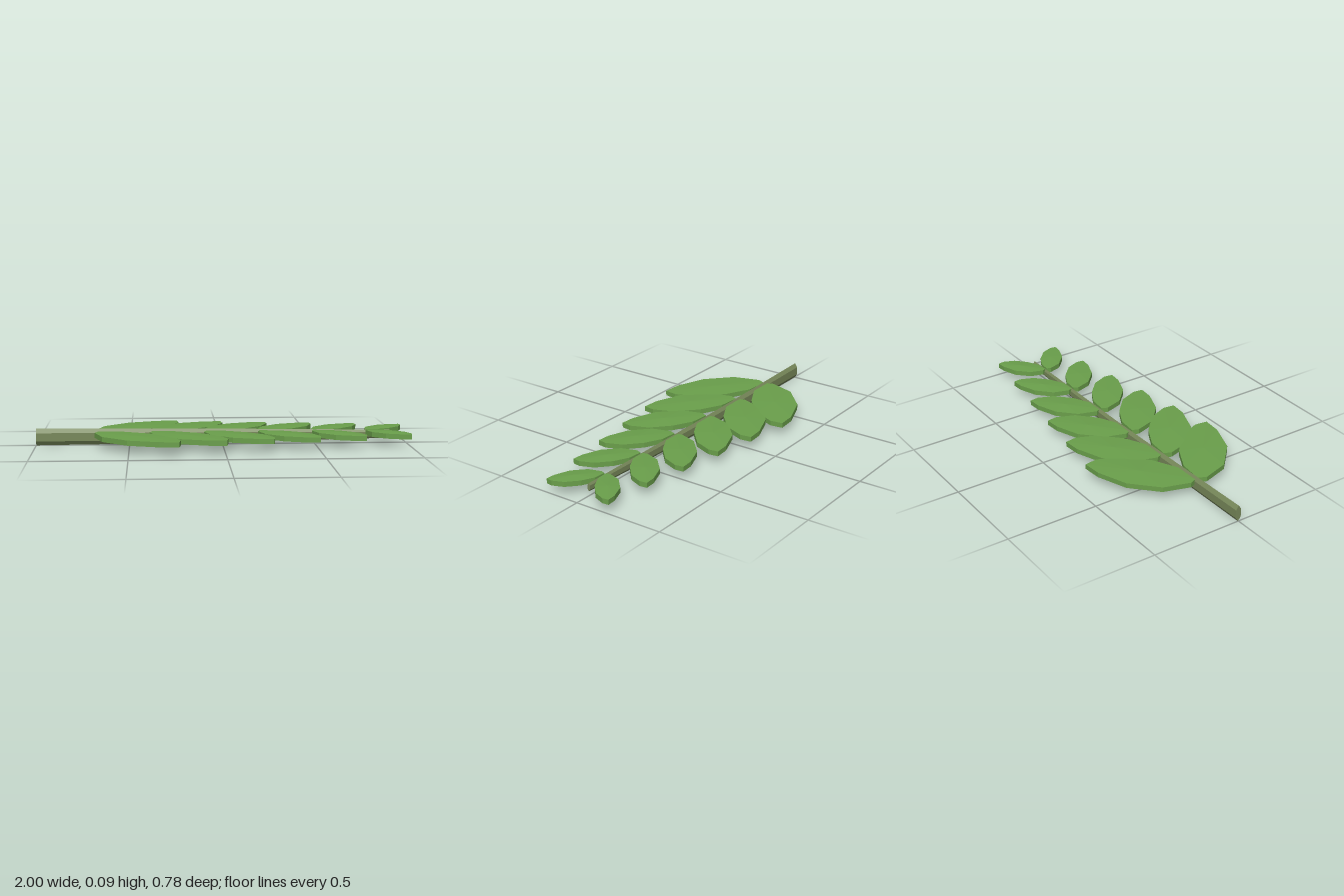
import * as THREE from 'three';

const leafMat = new THREE.MeshStandardMaterial({ color: 0x6a9f4b });
leafMat.name = 'leafGreen';
leafMat.flatShading = true;
const stemMat = new THREE.MeshStandardMaterial({ color: 0x78895a });
stemMat.name = 'stemOlive';
stemMat.flatShading = true;

// Leaf outline: u runs along the stem, v away from it, both as fractions of leaf size
const OUTLINE = [
  [0.04, 0], [0, 0.12], [0.1, 0.49], [0.4, 0.82], [0.77, 0.98], [1, 1],
  [1.02, 0.82], [0.91, 0.5], [0.64, 0.21], [0.34, 0.03],
];

function makeMesh(name, positions, material) {
  const geo = new THREE.BufferGeometry();
  geo.setAttribute('position', new THREE.Float32BufferAttribute(positions.flat(), 3));
  geo.computeVertexNormals();
  const mesh = new THREE.Mesh(geo, material);
  mesh.name = name;
  return mesh;
}

// Thick leaf with slightly domed faces; side is +1 or -1 in z
function makeLeaf(name, x, width, depth, side) {
  const pts = OUTLINE.map(([u, v]) => [x + u * width, side * (0.004 + v * (depth - 0.004))]);
  if (side < 0) pts.reverse();
  const cx = x + 0.52 * width, cz = side * depth * 0.52;
  const top = 0.073, bottom = 0.046;
  const out = [];
  pts.forEach((p, i) => {
    const q = pts[(i + 1) % pts.length];
    const pt = [p[0], top, p[1]], qt = [q[0], top, q[1]];
    const pb = [p[0], bottom, p[1]], qb = [q[0], bottom, q[1]];
    out.push([cx, 0.079, cz], pt, qt);
    out.push([cx, 0.04, cz], qb, pb);
    out.push(pb, qb, qt, pb, qt, pt);
  });
  return makeMesh(name, out, leafMat);
}

// Tapering stem: each section is [x, centre y, centre z, half height, half width]
function makeStem() {
  const sections = [
    [-1, 0.045, -0.002, 0.045, 0.018],
    [-0.5, 0.044, -0.009, 0.041, 0.016],
    [0, 0.045, -0.014, 0.036, 0.014],
    [0.5, 0.046, -0.008, 0.029, 0.011],
    [0.91, 0.047, -0.001, 0.022, 0.009],
  ];
  const sides = 6;
  const rings = sections.map(([x, y, z, h, w]) => {
    const ring = [];
    for (let j = 0; j < sides; j++) {
      const a = (j / sides) * Math.PI * 2;
      ring.push([x, y + Math.cos(a) * h, z + Math.sin(a) * w]);
    }
    return ring;
  });
  const out = [];
  const last = rings.length - 1;
  for (let j = 0; j < sides; j++) {
    const k = (j + 1) % sides;
    for (let i = 0; i < last; i++) {
      const a = rings[i], b = rings[i + 1];
      out.push(a[j], a[k], b[j], a[k], b[k], b[j]);
    }
    // End caps
    out.push(sections[0].slice(0, 3), rings[0][k], rings[0][j]);
    out.push(sections[last].slice(0, 3), rings[last][j], rings[last][k]);
  }
  return makeMesh('stem', out, stemMat);
}

export function createModel() {
  const model = new THREE.Group();
  model.name = 'leafySprig';
  model.add(makeStem());

  // Six mirrored pairs shrinking toward the tip
  for (let i = 0; i < 6; i++) {
    const x = -0.685 + i * 0.292;
    const tip = -0.24 + i * 0.247;
    const depth = 0.39 - i * 0.039;
    model.add(makeLeaf(`leftLeaf${i + 1}`, x, tip - x, depth, -1));
    model.add(makeLeaf(`rightLeaf${i + 1}`, x, tip - x, depth, 1));
  }
  return model;
}
